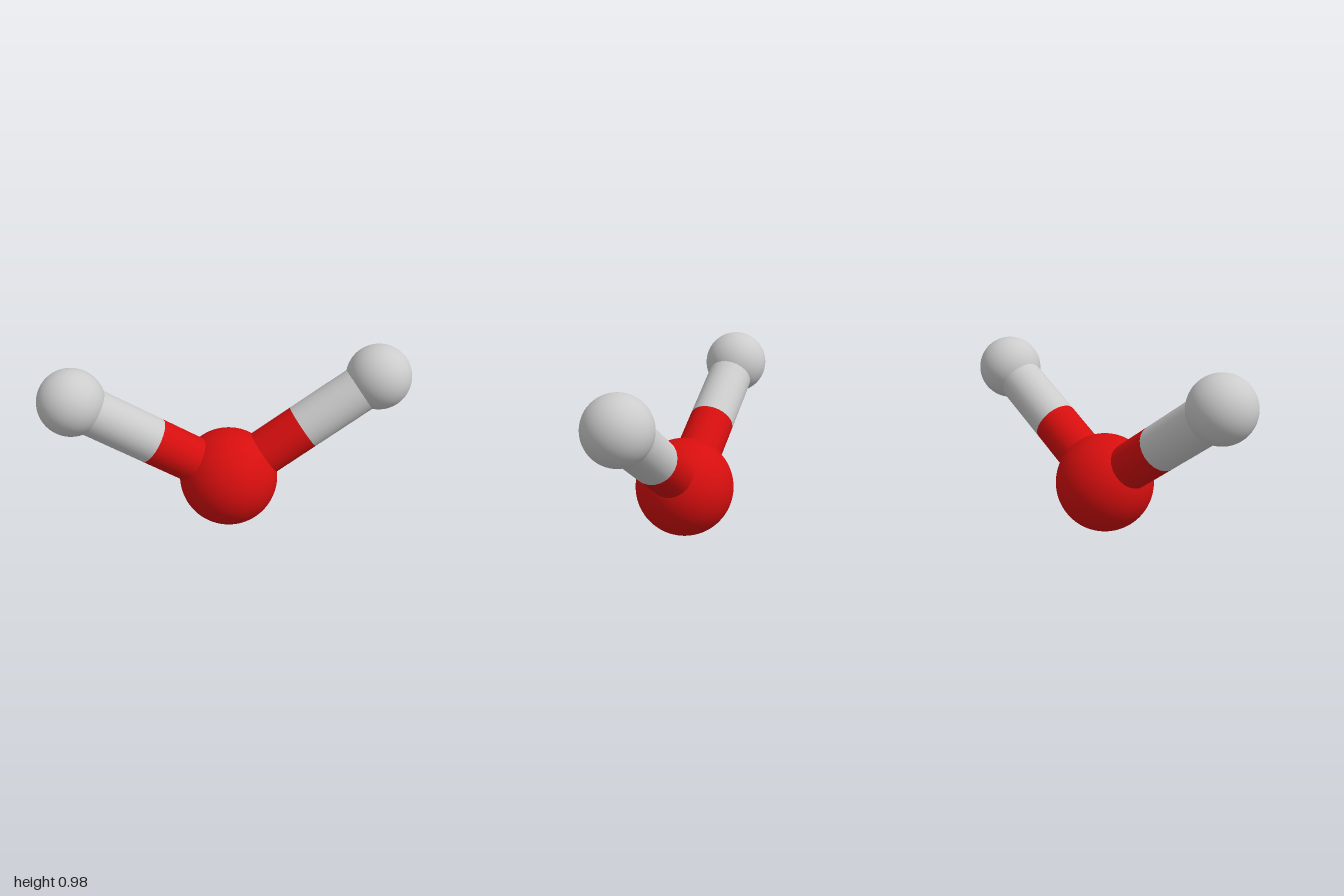
import * as THREE from 'three';

const RED = new THREE.MeshStandardMaterial({ color: 0xd60e0e });
const GREY = new THREE.MeshStandardMaterial({ color: 0xcccccc });

const CENTRE = new THREE.Vector3(0, 0.27, 0);
const BOND_RADIUS = 0.126;

function ball(name, radius, position, material) {
  const mesh = new THREE.Mesh(new THREE.SphereGeometry(radius, 64, 40), material);
  mesh.name = name;
  mesh.position.copy(position);
  return mesh;
}

// Round rod running from one point to another
function rod(name, from, to, material) {
  const axis = to.clone().sub(from);
  const geometry = new THREE.CylinderGeometry(BOND_RADIUS, BOND_RADIUS, axis.length(), 24, 1, true);
  const mesh = new THREE.Mesh(geometry, material);
  mesh.name = name;
  mesh.position.copy(from).add(to).multiplyScalar(0.5);
  mesh.quaternion.setFromUnitVectors(new THREE.Vector3(0, 1, 0), axis.normalize());
  return mesh;
}

export function createModel() {
  const model = new THREE.Group();
  model.name = 'waterMolecule';

  model.add(ball('oxygenAtom', 0.268, CENTRE, RED));

  // Each arm: a two-colour bond split halfway, ending in a small atom
  for (const [side, sign] of [['left', 1], ['right', -1]]) {
    const arm = new THREE.Group();
    arm.name = side + 'Arm';
    const end = new THREE.Vector3(sign * 0.823, 0.805, 0);
    const middle = CENTRE.clone().lerp(end, 0.5);
    arm.add(
      rod(side + 'BondInner', CENTRE, middle, RED),
      rod(side + 'BondOuter', middle, end, GREY),
      ball(side + 'HydrogenAtom', 0.177, end, GREY)
    );
    model.add(arm);
  }
  return model;
}
